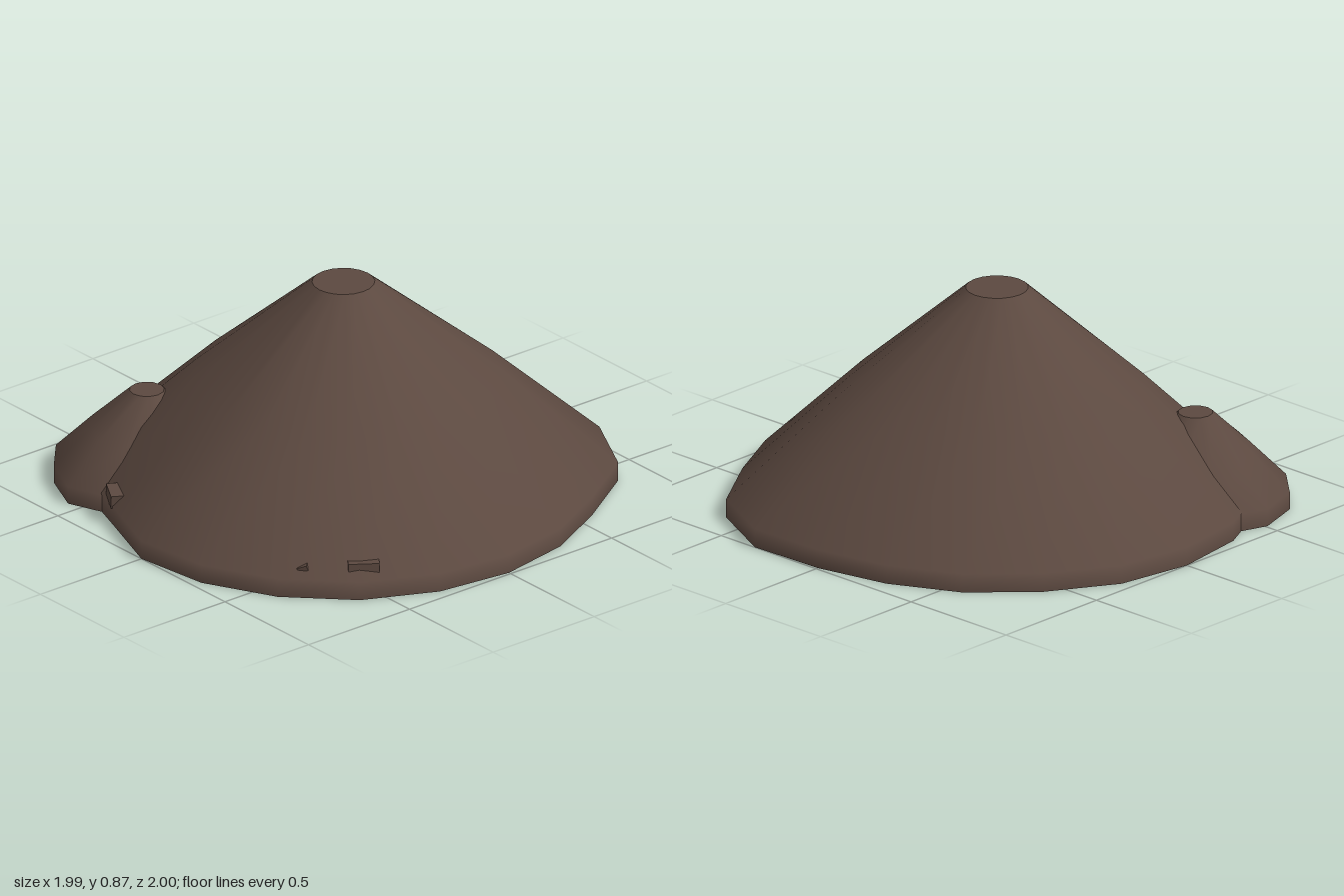
import * as THREE from 'three';

// Truncated cone with an uneven outline: smooth side, separate flat caps
function moundGeometry(radii, rings, topRadius) {
  const n = radii.length, pos = [], index = [];
  const addRing = (y, scale) => {
    radii.forEach((r, i) => {
      const a = (i / n) * Math.PI * 2;
      const d = scale === null ? topRadius : r * scale;
      pos.push(Math.cos(a) * d, y, -Math.sin(a) * d);
    });
  };
  rings.forEach(([y, s]) => addRing(y, s));
  for (let k = 0; k < rings.length - 1; k++) {
    for (let i = 0; i < n; i++) {
      const a = k * n + i, b = k * n + (i + 1) % n;
      index.push(a, b, b + n, a, b + n, a + n);
    }
  }
  // caps have their own vertices so the rims stay sharp
  [[rings[0], false], [rings[rings.length - 1], true]].forEach(([[y, s], up]) => {
    const c = pos.length / 3;
    pos.push(0, y, 0);
    addRing(y, s);
    for (let i = 0; i < n; i++) {
      const a = c + 1 + i, b = c + 1 + (i + 1) % n;
      if (up) index.push(c, a, b);
      else index.push(c, b, a);
    }
  });
  const g = new THREE.BufferGeometry();
  g.setAttribute('position', new THREE.Float32BufferAttribute(pos, 3));
  g.setIndex(index);
  g.computeVertexNormals();
  return g;
}

export function createModel() {
  const group = new THREE.Group();
  const earth = new THREE.MeshStandardMaterial({ color: 0x5c4940 });
  earth.name = 'earthBrown';

  const add = (name, geometry, x, y, z) => {
    const mesh = new THREE.Mesh(geometry, earth);
    mesh.name = name;
    mesh.position.set(x, y, z);
    group.add(mesh);
    return mesh;
  };

  // Main mound, radii counter-clockwise seen from above
  const mainRadii = [0.99, 0.98, 0.98, 1.05, 1.05, 0.99, 0.975, 0.98, 0.98, 1.0,
    1.0, 1.0, 1.0, 0.98, 0.94, 1.0, 1.01, 1.01, 1.01, 1.0];
  add('mainMound', moundGeometry(mainRadii,
    [[0, 1], [0.075, 1], [0.475, 0.58], [0.87, null]], 0.12), 0, 0, 0);

  // Small side mound
  const sideRadii = [0.37, 0.37, 0.37, 0.38, 0.37, 0.37, 0.38, 0.37, 0.36, 0.39, 0.37, 0.37];
  add('sideMound', moundGeometry(sideRadii,
    [[0, 1], [0.07, 1], [0.22, 0.6], [0.365, null]], 0.067), -0.56, 0, 0.51);

  // Half-buried stones near the foot
  const stones = [
    { p: [-0.335, 0.097, 0.835], s: [0.1, 0.052, 0.08], r: [0, -0.5, -0.1] },
    { p: [0.765, 0.107, 0.535], s: [0.12, 0.055, 0.08], r: [0, 0.96, 0] },
    { p: [0.62, 0.108, 0.71], s: [0.04, 0.02, 0.06], r: [0.1, 0.72, 0.3] },
  ];
  stones.forEach(({ p, s, r }, i) => {
    add('stone' + (i + 1), new THREE.BoxGeometry(...s), ...p).rotation.set(...r);
  });

  return group;
}
